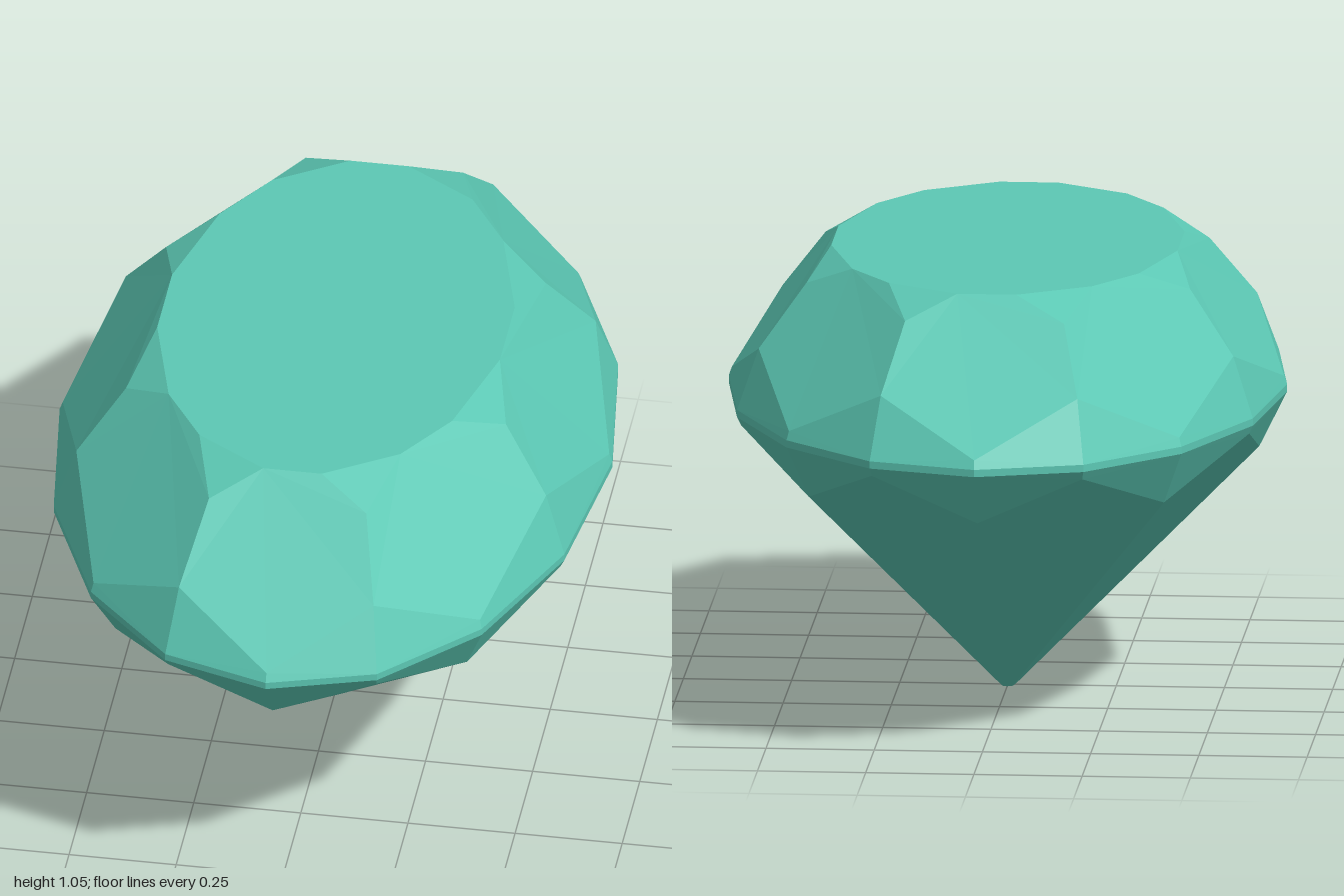
import * as THREE from 'three';

const WIDTH = 0.645; // x radius of the oval outline, z radius is 1
const STEP = Math.PI / 8; // half of one of the eight repeats

// Point on the oval: angle in half-repeats from the front, radius, height
const at = (k, r, y) => new THREE.Vector3(
  WIDTH * r * Math.sin(k * STEP), y, r * Math.cos(k * STEP));

// Flat facets, each a convex polygon fanned into triangles facing outward
function facetMesh(name, facets, material) {
  const inside = new THREE.Vector3(0, 0.65, 0);
  const points = [];
  for (const f of facets) {
    for (let i = 1; i < f.length - 1; i++) {
      const tri = new THREE.Triangle(f[0], f[i], f[i + 1]);
      const out = tri.getNormal(new THREE.Vector3()).dot(f[0].clone().sub(inside)) > 0;
      points.push(...(out ? [tri.a, tri.b, tri.c] : [tri.a, tri.c, tri.b]));
    }
  }
  const geometry = new THREE.BufferGeometry().setFromPoints(points);
  geometry.computeVertexNormals();
  const mesh = new THREE.Mesh(geometry, material);
  mesh.name = name;
  return mesh;
}

export function createModel() {
  const gem = new THREE.MeshStandardMaterial({ color: 0x5cc8b4, flatShading: true });
  gem.name = 'sea green gem';

  const table = [], crown = [], girdle = [], pavilion = [], culet = [];
  const half = 0.43; // half-width of a table edge, in half-repeats

  for (let i = 0; i < 8; i++) {
    const k = 2 * i;
    const tableL = at(k - half, 0.629, 1.05), tableR = at(k + half, 0.629, 1.05);
    const nextTable = at(k + 2 - half, 0.629, 1.05);
    const starL = at(k - 1, 0.744, 0.998), starR = at(k + 1, 0.744, 0.998);
    const shoulderL = at(k - 1, 0.92, 0.856), shoulderR = at(k + 1, 0.92, 0.856);
    const tip = at(k, 0.989, 0.737);
    table.push(tableL, tableR);

    // Crown: main facet, star facet, and a girdle facet on each side
    crown.push([tableL, tableR, starR, shoulderR, tip, shoulderL, starL]);
    crown.push([tableR, nextTable, starR]);
    for (const [s, shoulder] of [[-1, shoulderL], [1, shoulderR]]) {
      crown.push([tip, shoulder, at(k + s, 1, 0.717), at(k, 1, 0.717)]);
      // Girdle: thin upright band
      girdle.push([at(k, 1, 0.7), at(k + s, 1, 0.7), at(k + s, 1, 0.717), at(k, 1, 0.717)]);
      // Lower girdle facets
      pavilion.push([at(k, 1, 0.7), at(k + s, 1, 0.7), at(k + s, 0.985, 0.68), at(k, 0.9, 0.57)]);
    }

    // Pavilion: long main facets running down to the small flat culet
    pavilion.push([at(k + 1, 0.985, 0.68), at(k, 0.9, 0.57), at(k, 0.026, 0),
      at(k + 2, 0.026, 0), at(k + 2, 0.9, 0.57)]);
    culet.push(at(k, 0.026, 0));
  }

  const group = new THREE.Group();
  group.name = 'ovalGem';
  group.add(
    facetMesh('table', [table], gem),
    facetMesh('crown', crown, gem),
    facetMesh('girdle', girdle, gem),
    facetMesh('pavilion', pavilion, gem),
    facetMesh('culet', [culet], gem),
  );
  return group;
}
